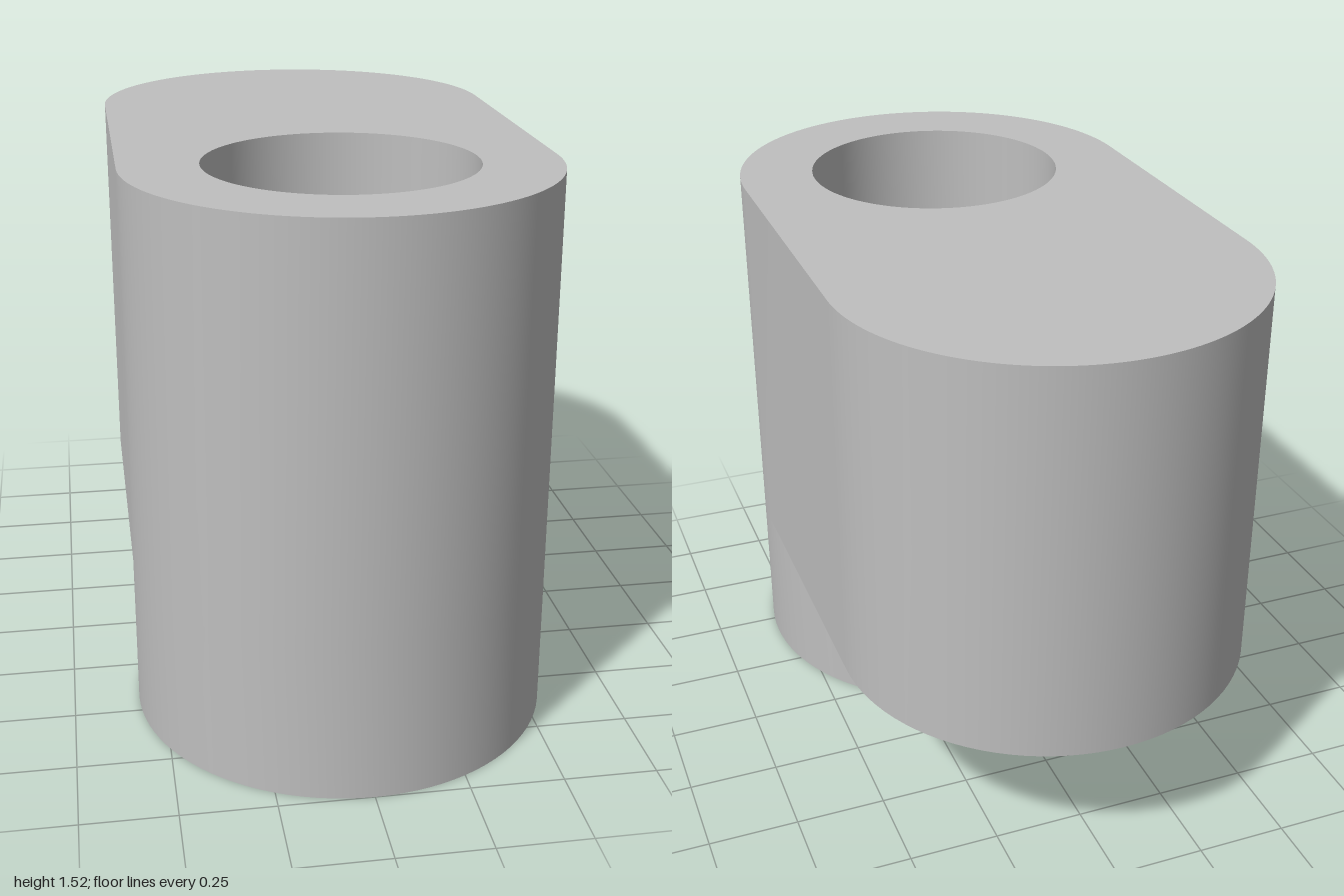
import * as THREE from 'three';
import { toCreasedNormals } from 'three/addons/utils/BufferGeometryUtils.js';

const R = 0.57;          // radius of both rounded ends and the boss
const C = 0.43;          // distance of the end centres from the middle
const STEP = 0.43;       // underside of the overhanging block
const TOP = 1.52;
const BORE = 0.36;       // wide bore
const HOLE = 0.115;      // narrow through hole
const FLOOR = 0.3;       // floor of the wide bore
const ARC = 48;          // segments per half turn

export function createModel() {
  const group = new THREE.Group();
  const gray = new THREE.MeshStandardMaterial({ color: 0xbfbfbf });
  gray.name = 'plain gray';

  const add = (name, geometry) => {
    const mesh = new THREE.Mesh(geometry, gray);
    mesh.name = name;
    group.add(mesh);
  };

  // Round-ended outline, drawn with shape y pointing to the back
  const outline = new THREE.Shape();
  outline.absarc(0, C, R, 0, Math.PI);
  outline.absarc(0, -C, R, Math.PI, 2 * Math.PI);
  outline.closePath();

  // Block side wall: a strip wrapped around the outline
  const pts = outline.getPoints(ARC / 2);
  if (pts[0].distanceTo(pts[pts.length - 1]) > 1e-5) pts.push(pts[0].clone());
  const wall = new THREE.PlaneGeometry(1, 1, pts.length - 1, 1);
  const pos = wall.attributes.position;
  for (let i = 0; i < pos.count; i++) {
    const p = pts[i % pts.length];
    pos.setXYZ(i, p.x, i < pts.length ? TOP : STEP, -p.y);
  }
  add('blockWall', toCreasedNormals(wall, 0.6));

  // Block top with the bore opening
  const top = outline.clone();
  top.holes.push(new THREE.Path().absarc(0, -C, BORE, 0, 2 * Math.PI, true));
  add('blockTop', new THREE.ShapeGeometry(top, ARC).rotateX(-Math.PI / 2).translate(0, TOP, 0));

  // Underside of the overhang, cut out around the boss
  const under = new THREE.Shape();
  under.absarc(0, -C, R, Math.PI, 2 * Math.PI);
  under.absarc(0, C, R, 0, Math.PI, true);
  under.closePath();
  add('overhangUnderside', new THREE.ShapeGeometry(under, ARC / 2).rotateX(Math.PI / 2).translate(0, STEP, 0));

  // Bore, through hole and round boss in one turned profile
  const profile = [
    [BORE, TOP], [BORE, FLOOR], [HOLE, FLOOR], [HOLE, 0], [R, 0], [R, STEP],
  ].map(([r, y]) => new THREE.Vector2(r, y));
  const turned = new THREE.LatheGeometry(profile, 2 * ARC);
  add('bossAndBore', toCreasedNormals(turned, 0.6).translate(0, 0, C));

  return group;
}
